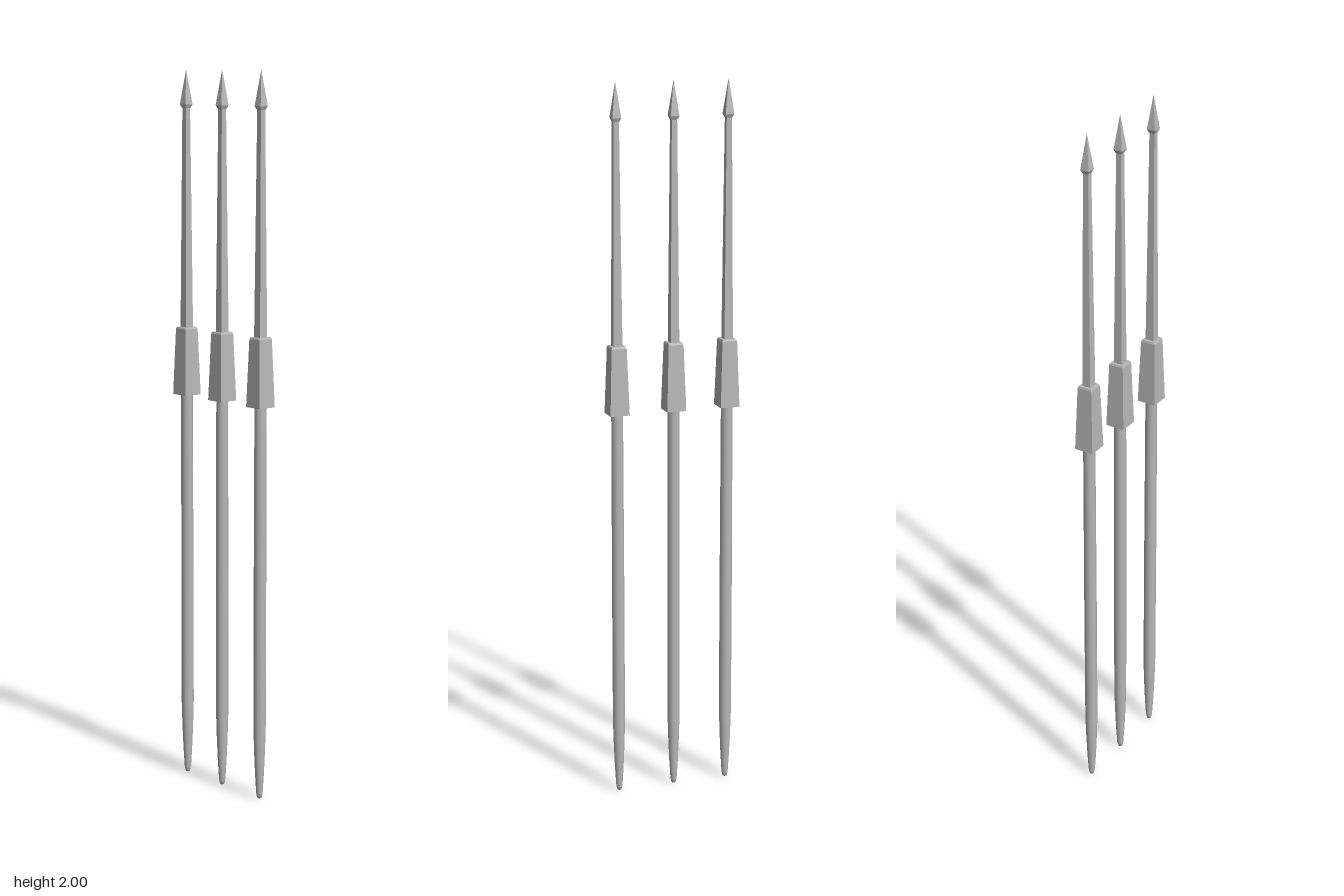
import * as THREE from 'three';

const steel = new THREE.MeshStandardMaterial({ color: 0xb8b8b8 });
steel.name = 'grey metal';
const facetedSteel = steel;

// Tapered square prism given half-widths and the heights it spans
function squarePrism(name, bottom, top, y0, y1) {
  const g = new THREE.CylinderGeometry(top * Math.SQRT2, bottom * Math.SQRT2, y1 - y0, 4, 1);
  g.rotateY(Math.PI / 4);
  g.translate(0, (y0 + y1) / 2, 0);
  const flat = g.toNonIndexed();
  flat.computeVertexNormals();
  const mesh = new THREE.Mesh(flat, facetedSteel);
  mesh.name = name;
  return mesh;
}

function createSpear() {
  const spear = new THREE.Group();

  // Round wooden-style shaft with a tapered, blunt butt
  const profile = [
    [0, 0], [0.006, 0.003], [0.009, 0.015], [0.0125, 0.07], [0.0155, 0.14],
    [0.0175, 0.21], [0.0175, 0.6], [0.0165, 1.11],
  ].map(([r, y]) => new THREE.Vector2(r, y));
  const shaft = new THREE.Mesh(new THREE.LatheGeometry(profile, 12), steel);
  shaft.name = 'shaft';
  spear.add(shaft);

  // Square collar, flared towards its lower end
  spear.add(squarePrism('collar', 0.0275, 0.0215, 1.1, 1.285));
  spear.add(squarePrism('collarBevel', 0.0215, 0.0195, 1.285, 1.29));

  // Thin square shank and pyramid point
  spear.add(squarePrism('shank', 0.0125, 0.0075, 1.285, 1.905));
  spear.add(squarePrism('headBase', 0.008, 0.0125, 1.895, 1.905));
  spear.add(squarePrism('head', 0.0125, 0.0002, 1.905, 2));
  return spear;
}

export function createModel() {
  const model = new THREE.Group();
  model.name = 'spearSet';
  [['rightSpear', -0.16], ['middleSpear', -0.004], ['leftSpear', 0.159]].forEach(([name, x]) => {
    const spear = createSpear();
    spear.name = name;
    spear.position.x = x;
    model.add(spear);
  });
  return model;
}
